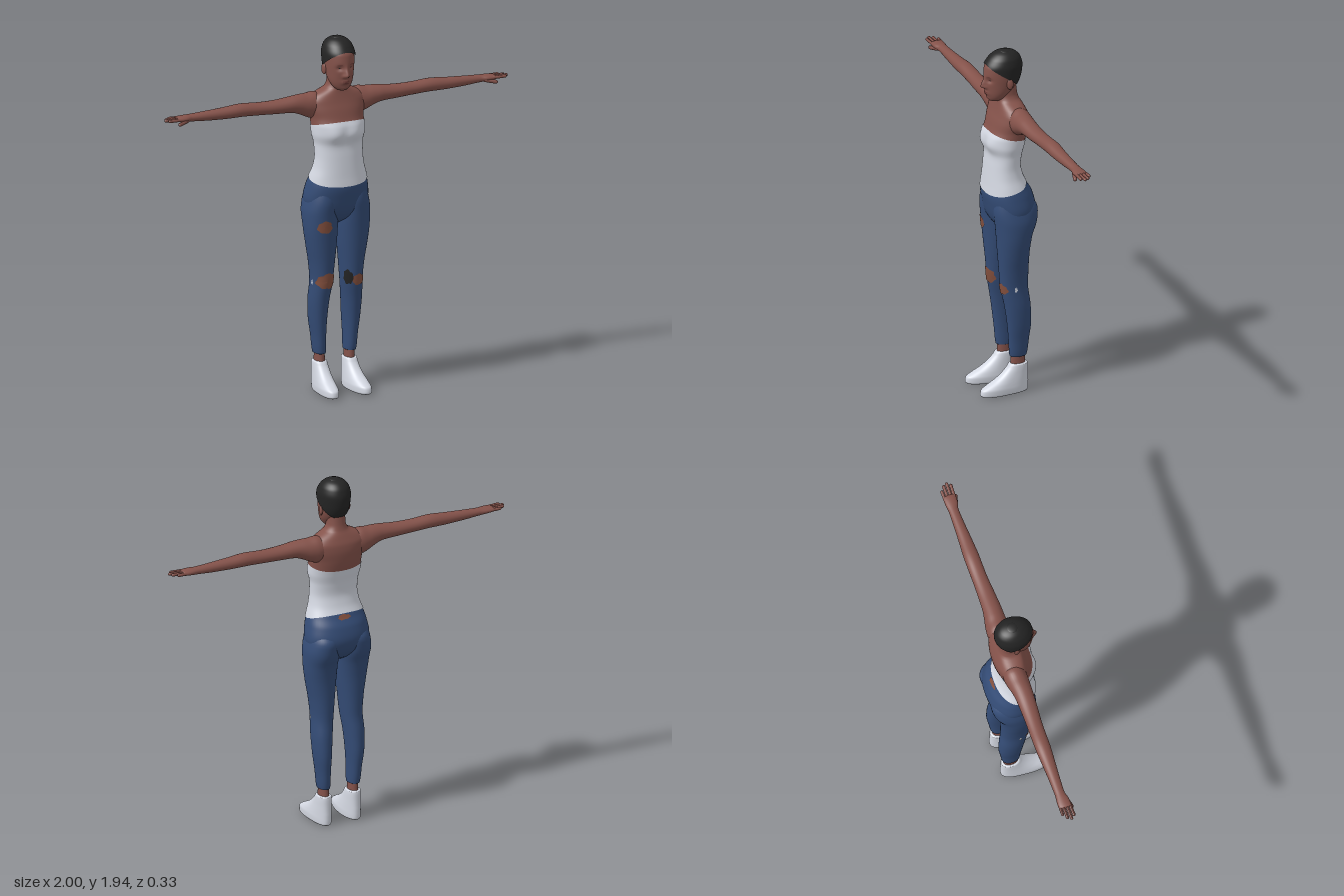
import * as THREE from 'three';

const mat = (name, color) => {
  const m = new THREE.MeshStandardMaterial({ color });
  m.name = name;
  return m;
};

// Smooth, overshoot-free interpolation through rows [v, ...values]
function profile(rows) {
  const n = rows.length;
  const slope = (i, k) => (rows[i + 1][k] - rows[i][k]) / (rows[i + 1][0] - rows[i][0]);
  const tangent = (i, k) => {
    if (i === 0) return slope(0, k);
    if (i === n - 1) return slope(n - 2, k);
    const a = slope(i - 1, k), b = slope(i, k);
    return a * b <= 0 ? 0 : (2 * a * b) / (a + b);
  };
  return v => {
    let i = 0;
    while (i < n - 2 && v > rows[i + 1][0]) i++;
    const h = rows[i + 1][0] - rows[i][0];
    const t = Math.min(1, Math.max(0, (v - rows[i][0]) / h)), t2 = t * t, t3 = t2 * t;
    return rows[i].slice(1).map((p, j) => {
      const k = j + 1;
      return (2 * t3 - 3 * t2 + 1) * p + (t3 - 2 * t2 + t) * h * tangent(i, k) +
        (3 * t2 - 2 * t3) * rows[i + 1][k] + (t3 - t2) * h * tangent(i + 1, k);
    });
  };
}

// Values of v along a loft, a few between each pair of rows
const steps = (rows, per = 4) => rows.slice(0, -1)
  .flatMap((r, i) => Array.from({ length: per }, (_, j) => r[0] + (rows[i + 1][0] - r[0]) * j / per))
  .concat(rows[rows.length - 1][0]);

const span = (lo, hi, n) => a => Array.from({ length: n + 1 }, (_, j) => {
  const t = j / n;
  return lo(a) + (hi(a) - lo(a)) * (1 - (1 - t) ** 1.6);
});

// Closed grid around angle a; vs is a list of v or a function of a giving one
function grid(fn, vs, nu = 48) {
  const pos = [], idx = [];
  let nv = 0;
  for (let i = 0; i < nu; i++) {
    const a = i / nu * Math.PI * 2, list = typeof vs === 'function' ? vs(a) : vs;
    nv = list.length;
    list.forEach(v => pos.push(...fn(v, a).toArray()));
  }
  for (let i = 0; i < nu; i++) for (let j = 0; j < nv - 1; j++) {
    const p = i * nv + j, q = ((i + 1) % nu) * nv + j;
    idx.push(p, q, q + 1, p, q + 1, p + 1);
  }
  const g = new THREE.BufferGeometry();
  g.setAttribute('position', new THREE.Float32BufferAttribute(pos, 3));
  g.setIndex(idx);
  g.computeVertexNormals();
  return g;
}

// Push a surface outward along its normal
const offset = (fn, d) => (v, a) => {
  const e = 0.002, p = fn(v, a);
  const du = fn(v, a + e).sub(fn(v, a - e)), dv = fn(v + e, a).sub(fn(v - e, a));
  return p.addScaledVector(du.cross(dv).normalize(), d);
};

// Thin round patch lying on a surface, with an optionally ragged edge
const disc = (fn, ac, vc, da, dv, lift = 0.003, ragged = 0) => {
  const s = offset(fn, lift);
  return grid((r, t) => {
    const k = r * (1 + ragged * (Math.sin(3 * t + 1) + Math.sin(7 * t)));
    return s(vc - dv * k * Math.sin(t), ac + da * k * Math.cos(t));
  }, [0.001, 0.25, 0.5, 0.75, 1], 28);
};

const spow = (s, p) => Math.sign(s) * Math.abs(s) ** p;
// Upright surface from rows [y, inner x, outer x, front z, back z]
const upright = (rows, p = 1) => {
  const f = profile(rows);
  return (y, a) => {
    const [xi, xo, zf, zb] = f(y);
    return new THREE.Vector3((xi + xo) / 2 + (xo - xi) / 2 * spow(Math.sin(a), p), y,
      (zf + zb) / 2 + (zf - zb) / 2 * spow(Math.cos(a), p));
  };
};
const centred = rows => rows.map(([y, w, f, b]) => [y, -w, w, f, b]);
const bump = (x, y, sx, sy) => Math.exp(-((x / sx) ** 2) - ((y / sy) ** 2));

export function createModel() {
  const root = new THREE.Group();
  root.name = 'woman';
  const skin = mat('skin', 0x84524a), bare = mat('bare patch skin', 0x84503e), denim = mat('denim', 0x344c76);
  const white = mat('white cloth', 0xd4d8e2), black = mat('black hair', 0x242424), lip = mat('lips', 0x6c3c38);

  const add = (name, geo, m) => {
    const mesh = new THREE.Mesh(geo, m);
    mesh.name = name;
    root.add(mesh);
  };
  const flip = geo => {
    const g = geo.clone().scale(-1, 1, 1), ix = g.index.array;
    for (let i = 0; i < ix.length; i += 3) [ix[i], ix[i + 1]] = [ix[i + 1], ix[i]];
    g.computeVertexNormals();
    return g;
  };
  const pair = (name, geo, m) => {
    add('left ' + name, geo, m);
    add('right ' + name, flip(geo), m);
  };

  // Torso: hips, strapless top, bare shoulders and neck share one surface
  const trunk = upright(centred([
    [0.92, 0.03, 0, -0.06], [0.95, 0.1, 0.045, -0.11], [1, 0.165, 0.075, -0.15], [1.06, 0.178, 0.09, -0.165],
    [1.13, 0.168, 0.1, -0.15], [1.18, 0.155, 0.095, -0.122], [1.24, 0.137, 0.09, -0.095],
    [1.3, 0.13, 0.085, -0.083], [1.36, 0.132, 0.08, -0.09], [1.42, 0.144, 0.09, -0.105],
    [1.46, 0.146, 0.088, -0.115], [1.5, 0.147, 0.075, -0.122], [1.55, 0.16, 0.06, -0.126],
    [1.59, 0.165, 0.045, -0.122], [1.62, 0.14, 0.036, -0.11], [1.645, 0.095, 0.03, -0.098],
    [1.66, 0.065, 0.028, -0.09], [1.69, 0.05, 0.024, -0.082], [1.74, 0.047, 0.02, -0.076]]), 0.9);
  const torso = (y, a) => {
    const p = trunk(y, a);
    if (Math.cos(a) > 0) p.z += 0.014 * Math.cos(a) * bump(Math.abs(p.x) - 0.06, y - 1.425, 0.05, 0.045);
    return p;
  };
  const hem = a => 1.173 - 0.03 * Math.cos(a), neckline = a => 1.468 + 0.022 * Math.cos(a);
  add('jeans hips', grid(torso, span(() => 0.92, hem, 30)), denim);
  add('strapless top', grid(offset(torso, 0.003), span(a => hem(a) - 0.004, neckline, 32), 64), white);
  add('shoulders and neck', grid(torso, span(a => neckline(a) - 0.01, () => 1.74, 36)), skin);
  add('back waist tear', disc(torso, Math.PI, 1.182, 0.2, 0.013, 0.004, 0.1), bare);

  // Head with brow, nose and mouth shaped into it
  const skull = upright(centred([
    [1.655, 0.012, 0.055, 0.02], [1.665, 0.034, 0.075, 0], [1.69, 0.055, 0.086, -0.025],
    [1.72, 0.067, 0.092, -0.055], [1.76, 0.074, 0.098, -0.085], [1.8, 0.078, 0.102, -0.1],
    [1.85, 0.08, 0.097, -0.106], [1.89, 0.07, 0.073, -0.096], [1.915, 0.05, 0.044, -0.074],
    [1.927, 0.027, 0.016, -0.045], [1.932, 0.001, -0.013, -0.015]]));
  const head = (y, a) => {
    const p = skull(y, a), ax = Math.abs(p.x);
    if (Math.cos(a) > 0) {
      p.z += 0.026 * bump(p.x, y - 1.748, 0.013, y > 1.748 ? 0.034 : 0.012)
        + 0.007 * bump(ax - 0.014, y - 1.744, 0.01, 0.01)
        - 0.012 * bump(ax - 0.032, y - 1.787, 0.017, 0.014)
        + 0.009 * bump(p.x, y - 1.71, 0.024, 0.013) + 0.004 * bump(p.x, y - 1.675, 0.02, 0.01);
    }
    return p;
  };
  add('head', grid(head, span(() => 1.655, () => 1.932, 64), 96), skin);
  add('cropped hair', grid(offset(skull, 0.006), span(a => 1.8 + 0.068 * Math.cos(a), () => 1.9318, 30), 64), black);
  add('hair crown', new THREE.SphereGeometry(0.03, 24, 12).scale(1, 0.25, 1).translate(0, 1.931, -0.014), black);
  add('upper lip', disc(head, 0, 1.7145, 0.3, 0.0045, 0.0012), lip);
  add('lower lip', disc(head, 0, 1.704, 0.25, 0.005, 0.0012), lip);
  pair('eye', disc(head, 0.43, 1.787, 0.13, 0.004, 0.0012), lip);
  pair('iris', disc(head, 0.43, 1.787, 0.05, 0.0035, 0.002), black);
  pair('eyebrow', disc(head, 0.43, 1.808, 0.18, 0.002, 0.0012), lip);
  pair('ear', new THREE.SphereGeometry(1, 20, 14).scale(0.009, 0.03, 0.018)
    .rotateY(-0.35).translate(0.079, 1.768, -0.012), skin);

  // Arms held straight out: rows [x, centre y, centre z, half height, half depth]
  const armRows = [
    [0.07, 1.575, -0.045, 0.045, 0.055], [0.13, 1.568, -0.045, 0.073, 0.062], [0.17, 1.572, -0.043, 0.064, 0.06],
    [0.21, 1.581, -0.04, 0.054, 0.055], [0.26, 1.587, -0.037, 0.044, 0.05], [0.35, 1.585, -0.038, 0.037, 0.045],
    [0.45, 1.587, -0.041, 0.034, 0.041], [0.55, 1.592, -0.042, 0.035, 0.041], [0.65, 1.588, -0.042, 0.031, 0.036],
    [0.75, 1.587, -0.043, 0.026, 0.03], [0.84, 1.588, -0.044, 0.02, 0.027], [0.88, 1.589, -0.041, 0.018, 0.034],
    [0.92, 1.59, -0.041, 0.013, 0.035], [0.93, 1.59, -0.041, 0.004, 0.028]];
  const armAt = profile(armRows);
  const arm = (x, a) => {
    const [cy, cz, ry, rz] = armAt(x);
    return new THREE.Vector3(x, cy - ry * Math.sin(a), cz + rz * Math.cos(a));
  };
  pair('arm', grid(arm, steps(armRows), 32), skin);

  // Fingers and thumb
  const finger = (from, to, r) => {
    const a = new THREE.Vector3(...from), b = new THREE.Vector3(...to), d = b.clone().sub(a);
    const g = new THREE.CapsuleGeometry(r, d.length() - 2 * r, 4, 10);
    g.applyQuaternion(new THREE.Quaternion().setFromUnitVectors(new THREE.Vector3(0, 1, 0), d.normalize()));
    return g.translate(...a.add(b).multiplyScalar(0.5).toArray());
  };
  [[-0.067, 0.965], [-0.05, 0.99], [-0.032, 1], [-0.015, 0.985]].forEach(([z, tip], i) =>
    pair('finger ' + (i + 1), finger([0.9, 1.59, z], [tip, 1.592, z * 1.1 + 0.005], 0.0085), skin));
  pair('thumb', finger([0.855, 1.583, -0.025], [0.93, 1.567, -0.002], 0.0105), skin);

  // Legs in jeans
  const legRows = [
    [1.13, 0.02, 0.15, 0.07, -0.1], [1.05, 0, 0.175, 0.083, -0.16], [0.98, 0, 0.186, 0.076, -0.152],
    [0.9, 0.003, 0.183, 0.068, -0.124], [0.8, 0.01, 0.17, 0.06, -0.111], [0.7, 0.02, 0.153, 0.052, -0.108],
    [0.6, 0.03, 0.144, 0.044, -0.107], [0.5, 0.042, 0.148, 0.026, -0.118], [0.4, 0.05, 0.143, 0.012, -0.122],
    [0.3, 0.055, 0.13, 0.002, -0.112], [0.205, 0.056, 0.12, -0.006, -0.1], [0.2, 0.066, 0.11, -0.016, -0.09]].reverse();
  const leg = upright(legRows, 0.95);
  pair('jeans leg', grid(leg, steps(legRows)), denim);

  // Torn patches
  add('right knee tear', flip(disc(leg, 0, 0.615, 0.95, 0.042, 0.004, 0.07)), bare);
  add('right thigh tear', flip(disc(leg, 0.18, 0.92, 0.42, 0.034, 0.004, 0.06)), bare);
  add('left knee tear', disc(leg, 0.2, 0.605, 0.6, 0.03, 0.004, 0.07), bare);
  add('left knee shadow cloth', disc(leg, -0.75, 0.618, 0.45, 0.04, 0.003, 0.09), black);
  pair('knee thread', disc(leg, 1.4, 0.605, 0.09, 0.014, 0.003, 0.15), white);

  // Ankles
  const ankleRows = [[0.1, 0.06, 0.115, -0.01, -0.095], [0.17, 0.061, 0.113, -0.012, -0.093], [0.23, 0.062, 0.112, -0.014, -0.092]];
  pair('ankle', grid(upright(ankleRows), steps(ankleRows), 32), skin);

  // High shoes, toes turned slightly outward
  const shoeRows = centred([
    [0, 0.001, 0.02, 0.018], [0.001, 0.043, 0.155, -0.104], [0.012, 0.048, 0.167, -0.109], [0.035, 0.049, 0.163, -0.11],
    [0.055, 0.047, 0.132, -0.11], [0.08, 0.044, 0.083, -0.109], [0.11, 0.041, 0.04, -0.108], [0.14, 0.039, 0.01, -0.107],
    [0.158, 0.037, -0.003, -0.105], [0.162, 0.033, -0.008, -0.1], [0.163, 0.02, -0.02, -0.085]]);
  const last = upright(shoeRows, 0.88);
  const shoe = (y, a) => {
    const p = last(y, a);
    p.x += 0.087 + 0.06 * Math.max(0, p.z);
    return p;
  };
  pair('shoe', grid(shoe, steps(shoeRows), 56), white);

  return root;
}
